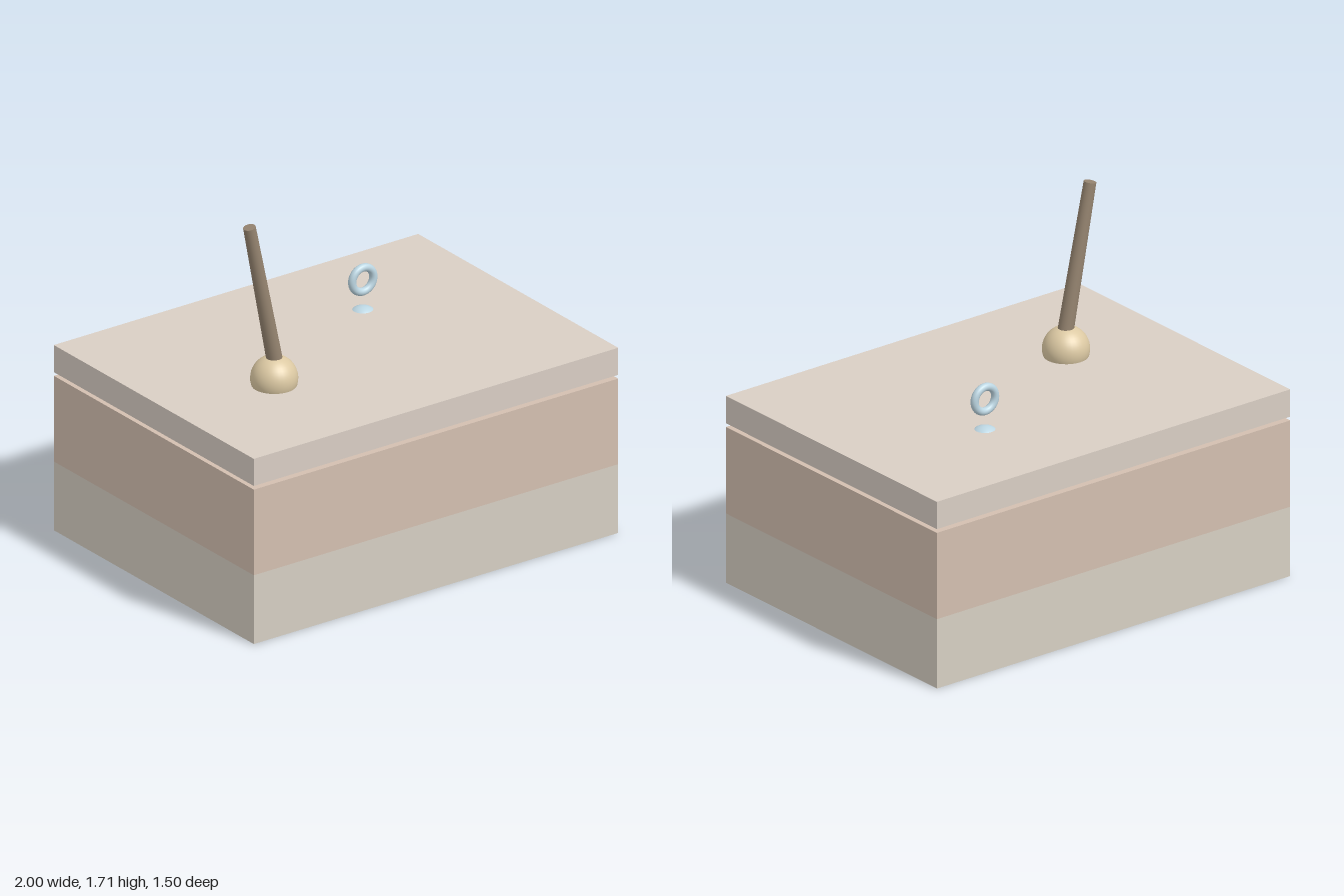
import * as THREE from 'three';

export function createModel() {
  const model = new THREE.Group();

  function add(name, geometry, color, x, y, z) {
    const mesh = new THREE.Mesh(geometry, new THREE.MeshStandardMaterial({ color }));
    mesh.name = name;
    mesh.position.set(x, y, z);
    model.add(mesh);
    return mesh;
  }

  // Slabs of the box, given by bottom and top height
  const slabs = [
    ['lowerBody', 0, 0.335, 0xd6cfc3],
    ['upperBody', 0.335, 0.752, 0xd3bfb0],
    ['lid', 0.77, 0.902, 0xd9cec4],
  ];
  for (const [name, bottom, top, color] of slabs) {
    add(name, new THREE.BoxGeometry(2, top - bottom, 1.5), color, 0, (bottom + top) / 2, 0);
  }

  // Ball joint sunk into the lid, with a tapered lever leaning to the right
  add('leverBall', new THREE.SphereGeometry(0.107, 32, 24), 0xdcc9a3, -0.46, 0.935, 0.165);
  const foot = new THREE.Vector3(-0.45, 0.985, 0.165);
  const tip = new THREE.Vector3(-0.596, 1.704, 0.165);
  const axis = tip.clone().sub(foot);
  const middle = foot.clone().lerp(tip, 0.5);
  const lever = add('lever', new THREE.CylinderGeometry(0.0285, 0.037, axis.length(), 20),
    0x94836f, middle.x, middle.y, middle.z);
  lever.quaternion.setFromUnitVectors(new THREE.Vector3(0, 1, 0), axis.normalize());

  // Small ball through the lid with a ring floating above it
  add('ringBall', new THREE.SphereGeometry(0.081, 32, 24), 0xbcd6e2, 0.33, 0.836, -0.25);
  add('ring', new THREE.TorusGeometry(0.058, 0.0185, 16, 40), 0xbcd6e2, 0.33, 1.046, -0.25);

  return model;
}
